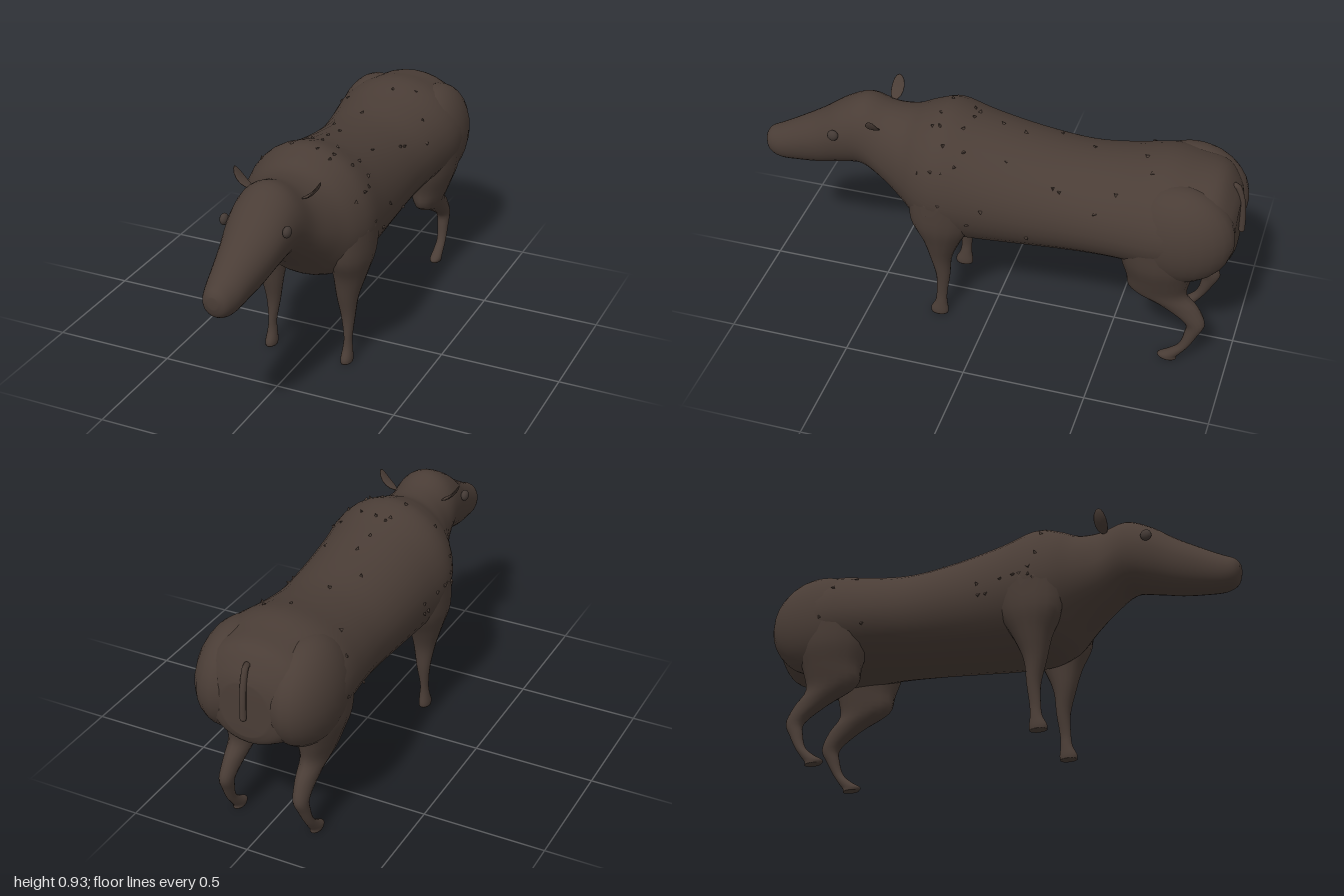
import * as THREE from 'three';

// Smoothly interpolates a list of number rows, t in 0..1
function sample(rows, t) {
  const f = t * (rows.length - 1);
  const i = Math.min(Math.floor(f), rows.length - 2);
  const u = f - i;
  const at = (k) => rows[Math.min(Math.max(k, 0), rows.length - 1)];
  const [a, b, c, d] = [at(i - 1), at(i), at(i + 1), at(i + 2)];
  return b.map((_, k) => b[k] + 0.5 * u * (c[k] - a[k]
    + u * (2 * a[k] - 5 * b[k] + 4 * c[k] - d[k]
    + u * (3 * (b[k] - c[k]) + d[k] - a[k]))));
}

// Skins closed rings placed along the rows, with a centre point at each end
function loft(rows, ring, steps, sides) {
  const pos = [], index = [];
  for (let i = 0; i <= steps; i++) {
    const row = sample(rows, i / steps);
    for (let j = 0; j < sides; j++) pos.push(...ring(row, (j / sides) * Math.PI * 2));
  }
  for (let i = 0; i < steps; i++) {
    for (let j = 0; j < sides; j++) {
      const k = (j + 1) % sides;
      const a = i * sides + j, b = i * sides + k, c = a + sides, d = b + sides;
      index.push(a, b, c, b, d, c);
    }
  }
  for (const end of [0, steps]) {
    const centre = [0, 0, 0];
    for (let j = 0; j < sides; j++) {
      for (let k = 0; k < 3; k++) centre[k] += pos[(end * sides + j) * 3 + k] / sides;
    }
    const n = pos.length / 3;
    pos.push(...centre);
    for (let j = 0; j < sides; j++) {
      const a = end * sides + j, b = end * sides + (j + 1) % sides;
      if (end) index.push(n, a, b); else index.push(n, b, a);
    }
  }
  const g = new THREE.BufferGeometry();
  g.setAttribute('position', new THREE.Float32BufferAttribute(pos, 3));
  g.setIndex(index);
  g.computeVertexNormals();
  return g;
}

// Rump to snout: z, top, bottom, widest height, half width
const BODY = [
  [-0.975, 0.72, 0.50, 0.61, 0.10], [-0.955, 0.77, 0.46, 0.62, 0.17],
  [-0.90, 0.84, 0.44, 0.63, 0.235], [-0.80, 0.86, 0.42, 0.63, 0.275],
  [-0.68, 0.875, 0.42, 0.63, 0.285], [-0.52, 0.845, 0.42, 0.62, 0.265],
  [-0.35, 0.83, 0.405, 0.61, 0.25], [-0.15, 0.85, 0.385, 0.61, 0.255],
  [0.05, 0.89, 0.365, 0.62, 0.265], [0.19, 0.93, 0.365, 0.63, 0.275],
  [0.28, 0.91, 0.40, 0.64, 0.25], [0.36, 0.88, 0.47, 0.66, 0.20],
  [0.45, 0.885, 0.54, 0.69, 0.155], [0.55, 0.912, 0.60, 0.75, 0.138],
  [0.65, 0.87, 0.585, 0.74, 0.125], [0.75, 0.80, 0.56, 0.69, 0.105],
  [0.85, 0.74, 0.545, 0.65, 0.085], [0.93, 0.695, 0.54, 0.62, 0.07],
  [0.98, 0.67, 0.56, 0.615, 0.05], [0.998, 0.645, 0.60, 0.622, 0.02],
];
// Legs, top to hoof: y, x, z, half width, half depth
const FRONT_LEG = [
  [0.64, 0.185, 0.17, 0.09, 0.15], [0.50, 0.18, 0.185, 0.09, 0.13],
  [0.40, 0.175, 0.19, 0.068, 0.08], [0.30, 0.167, 0.197, 0.046, 0.046],
  [0.20, 0.167, 0.19, 0.029, 0.029], [0.11, 0.17, 0.196, 0.017, 0.023],
  [0.06, 0.17, 0.20, 0.02, 0.025], [0.02, 0.17, 0.207, 0.024, 0.037],
  [0, 0.17, 0.208, 0.023, 0.036],
];
const HIND_LEG = [
  [0.62, 0.17, -0.70, 0.11, 0.17], [0.50, 0.165, -0.70, 0.105, 0.155],
  [0.41, 0.16, -0.70, 0.08, 0.13], [0.33, 0.155, -0.705, 0.055, 0.115],
  [0.27, 0.155, -0.79, 0.04, 0.08], [0.20, 0.16, -0.86, 0.03, 0.042],
  [0.14, 0.165, -0.85, 0.024, 0.028], [0.08, 0.17, -0.825, 0.02, 0.022],
  [0.04, 0.17, -0.79, 0.022, 0.03], [0.015, 0.17, -0.762, 0.024, 0.04],
  [0, 0.17, -0.765, 0.022, 0.036],
];

const bodyRing = ([z, top, bottom, mid, w], a) => {
  const s = Math.sin(a);
  return [w * Math.cos(a), mid + s * (s > 0 ? top - mid : mid - bottom), z];
};

export function createModel() {
  const model = new THREE.Group();
  const hide = new THREE.MeshStandardMaterial({ color: 0x4a3d36 });
  hide.name = 'dark brown hide';
  const eyeBrown = new THREE.MeshStandardMaterial({ color: 0x443a35 });
  eyeBrown.name = 'eye brown';

  const add = (name, geometry, material = hide, parent = model) => {
    const mesh = new THREE.Mesh(geometry, material);
    mesh.name = name;
    parent.add(mesh);
    return mesh;
  };

  add('bodyAndHead', loft(BODY, bodyRing, 76, 32));

  for (const side of [1, -1]) {
    const label = side > 0 ? 'left' : 'right';
    const legRing = ([y, x, z, rx, rz], a) =>
      [side * x + rx * Math.cos(a), y, z + rz * Math.sin(a)];
    add(label + 'FrontLeg', loft(FRONT_LEG, legRing, 32, 16));
    add(label + 'HindLeg', loft(HIND_LEG, legRing, 40, 16));

    // Rounded haunch, leaving a cleft at the rump
    const haunch = add(label + 'Haunch', new THREE.SphereGeometry(1, 24, 16));
    haunch.scale.set(0.14, 0.215, 0.225);
    haunch.position.set(side * 0.146, 0.625, -0.76);

    const eye = add(label + 'Eye', new THREE.SphereGeometry(0.023, 14, 10), eyeBrown);
    eye.scale.x = 0.7;
    eye.position.set(side * 0.13, 0.78, 0.655);

    // Thin leaf-shaped ear, curling upward
    const leaf = new THREE.SphereGeometry(1, 14, 10).scale(0.055, 0.006, 0.027);
    const p = leaf.attributes.position;
    for (let i = 0; i < p.count; i++) p.setY(i, p.getY(i) + 4 * p.getX(i) ** 2);
    leaf.computeVertexNormals();
    const earGroup = new THREE.Group();
    earGroup.name = label + 'EarGroup';
    earGroup.scale.x = side;
    const ear = add(label + 'Ear', leaf, hide, earGroup);
    ear.position.set(0.15, 0.865, 0.475);
    ear.rotation.z = 0.8;
    model.add(earGroup);
  }

  // Short hanging tail
  const tailPath = new THREE.CatmullRomCurve3([
    [0, 0.76, -0.925], [0, 0.79, -0.95], [0, 0.74, -0.972], [0, 0.66, -0.984], [0, 0.585, -0.986],
  ].map((v) => new THREE.Vector3(...v)));
  add('tail', new THREE.TubeGeometry(tailPath, 20, 0.013, 8, false));
  add('tailTip', new THREE.SphereGeometry(0.013, 8, 6)).position.set(0, 0.585, -0.986);

  // Small tufts scattered over the coat
  let seed = 7;
  const random = () => (seed = (seed * 16807) % 2147483647) / 2147483647;
  const tufts = new THREE.Group();
  tufts.name = 'coatTufts';
  const tuftGeometry = new THREE.TetrahedronGeometry(0.011);
  for (let i = 0; i < 44; i++) {
    const row = sample(BODY, 0.2 + random() * 0.32);
    const a = (random() * 1.3 - 0.15) * Math.PI;
    const tuft = add('tuft', tuftGeometry, hide, tufts);
    tuft.position.set(...bodyRing(row, a));
    tuft.rotation.set(random() * 6, random() * 6, 0);
  }
  model.add(tufts);
  return model;
}
